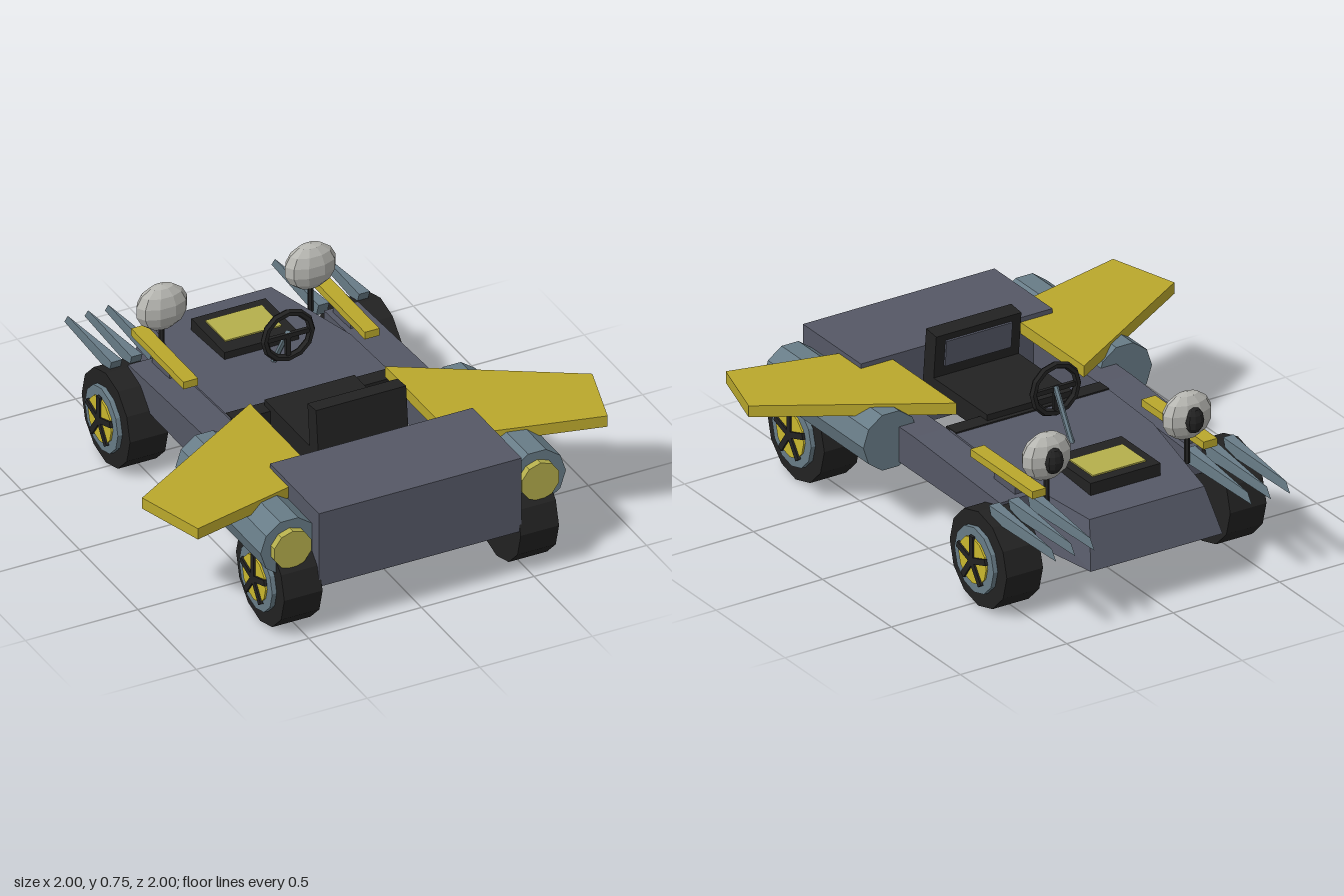
import * as THREE from 'three';
import { ConvexGeometry } from 'three/addons/geometries/ConvexGeometry.js';

const mat = (name, color) => {
  const m = new THREE.MeshStandardMaterial({ color, flatShading: true });
  m.name = name;
  return m;
};

export function createModel() {
  const slate = mat('slate', 0x555866);
  const steel = mat('steel blue', 0x687c87);
  const yellow = mat('yellow', 0xbaa82c);
  const pale = mat('pale yellow', 0xb5af4c);
  const hubYellow = mat('hub yellow', 0xcbb92e);
  const black = mat('black', 0x222222);
  const white = mat('lamp white', 0xb6b6b1);

  const root = new THREE.Group();
  const add = (name, geo, m, x = 0, y = 0, z = 0, parent = root) => {
    const mesh = new THREE.Mesh(geo, m);
    mesh.name = name;
    mesh.position.set(x, y, z);
    parent.add(mesh);
    return mesh;
  };
  // Box given by its ranges
  const box = (name, m, x0, x1, y0, y1, z0, z1, parent = root) =>
    add(name, new THREE.BoxGeometry(Math.abs(x1 - x0), y1 - y0, z1 - z0), m,
      (x0 + x1) / 2, (y0 + y1) / 2, (z0 + z1) / 2, parent);
  const hull = (name, m, pts) =>
    add(name, new ConvexGeometry(pts.map(p => new THREE.Vector3(...p))), m);
  // Horizontal plate from an outline in x and z
  const plate = (name, m, pts, y, h) => {
    const shape = new THREE.Shape(pts.map(([x, z]) => new THREE.Vector2(x, -z)));
    const geo = new THREE.ExtrudeGeometry(shape, { depth: h, bevelEnabled: false });
    return add(name, geo.rotateX(-Math.PI / 2), m, 0, y, 0);
  };

  // Tapered deck with sloping nose
  const half = [
    [0.31, 0.215, -0.88], [0.41, 0.215, -0.3], [0.41, 0.215, 0.1],
    [0.27, 0.405, -0.81], [0.36, 0.443, -0.3], [0.36, 0.46, 0.06],
  ];
  hull('deck', slate, half.concat(half.map(([x, y, z]) => [-x, y, z])));
  box('dashStrip', black, -0.36, 0.36, 0.4, 0.464, 0.02, 0.09);
  box('engineBox', slate, -0.45, 0.45, 0.22, 0.56, 0.57, 0.99);

  // Hood vent
  box('ventFrame', black, -0.165, 0.165, 0.4, 0.47, -0.655, -0.37);
  box('ventPanel', pale, -0.125, 0.125, 0.465, 0.476, -0.61, -0.44);

  // Seat
  box('seatCushion', black, -0.2, 0.2, 0.4, 0.49, 0.04, 0.48);
  const back = new THREE.Group();
  back.name = 'seatBack';
  back.position.set(0, 0.44, 0.47);
  back.rotation.x = -0.1;
  root.add(back);
  box('backrest', black, -0.2, 0.2, -0.03, 0.243, -0.037, 0.037, back);
  box('backPad', slate, -0.155, 0.155, 0.1, 0.215, -0.046, -0.037, back);

  // Steering wheel and column
  const steering = new THREE.Group();
  steering.name = 'steeringWheel';
  steering.position.set(0, 0.63, -0.145);
  root.add(steering);
  add('rim', new THREE.TorusGeometry(0.104, 0.016, 6, 12), black, 0, 0, 0, steering);
  box('crossSpoke', black, -0.1, 0.1, -0.01, 0.01, -0.008, 0.008, steering);
  box('lowerSpoke', black, -0.01, 0.01, -0.1, 0, -0.008, 0.008, steering);
  const column = add('steeringColumn', new THREE.CylinderGeometry(0.012, 0.012, 0.27, 6),
    steel, 0, 0.525, -0.215);
  column.rotation.x = 0.54;

  const addWheel = (s, z) => {
    const wheel = new THREE.Group();
    wheel.name = 'wheel';
    wheel.position.set(s * 0.525, 0.207, z);
    wheel.rotation.y = s > 0 ? 0 : Math.PI;
    root.add(wheel);
    const disc = (name, r, w, x, m, n) =>
      add(name, new THREE.CylinderGeometry(r, r, w, n).rotateZ(-Math.PI / 2), m, x, 0, 0, wheel);
    disc('tyre', 0.207, 0.17, 0, black, 12);
    disc('rim', 0.142, 0.025, 0.0925, steel, 12);
    disc('hub', 0.1, 0.014, 0.106, hubYellow, 12);
    for (let i = 0; i < 5; i++) {
      const a = i * Math.PI * 2 / 5;
      const spoke = add('spoke', new THREE.BoxGeometry(0.012, 0.108, 0.026), black,
        0.115, Math.cos(a) * 0.054, Math.sin(a) * 0.054, wheel);
      spoke.rotation.x = a;
    }
  };

  for (const s of [1, -1]) {
    // Side rail joining deck and engine box
    const rail = [];
    for (const x of [0.36, 0.51]) {
      rail.push([s * x, 0.3, -0.53], [s * x, 0.3, 0.58], [s * x, 0.425, -0.53],
        [s * x, 0.455, 0.09], [s * x, 0.455, 0.58]);
    }
    hull('sideRail', slate, rail);

    addWheel(s, 0.795);
    addWheel(s, -0.528);

    // Thruster pod with its cap
    const pod = new THREE.CylinderGeometry(0.128, 0.128, 0.73, 10)
      .rotateY(Math.PI / 2).rotateX(Math.PI / 2);
    add('pod', pod, steel, s * 0.55, 0.405, 0.565);
    const cap = new THREE.CylinderGeometry(0.086, 0.086, 0.03, 10).rotateX(Math.PI / 2);
    add('podCap', cap, pale, s * 0.55, 0.405, 0.945);

    plate('wing', yellow, [[s * 0.3, 0.11], [s, 0.535], [s * 0.91, 0.84],
      [s * 0.45, 0.73], [s * 0.3, 0.69]], 0.49, 0.05);
    box('yellowStrip', yellow, s * 0.37, s * 0.435, 0.472, 0.505, -0.65, -0.2);
    box('stripMount', slate, s * 0.385, s * 0.42, 0.41, 0.473, -0.5, -0.35);

    // Pointed exhaust blades
    for (const x of [0.37, 0.46, 0.55]) {
      const c = s * x;
      hull('blade', steel, [
        [c - 0.024, 0.385, -0.57], [c + 0.024, 0.385, -0.57], [c, 0.375, -1],
        [c - 0.024, 0.442, -0.55], [c + 0.024, 0.442, -0.55], [c, 0.418, -0.97],
      ]);
    }

    // Lamp with dark lens and short stalk
    add('lamp', new THREE.SphereGeometry(1, 10, 7).scale(0.115, 0.103, 0.062), white,
      s * 0.33, 0.612, -0.59);
    add('lens', new THREE.SphereGeometry(1, 10, 6).scale(0.043, 0.056, 0.035), black,
      s * 0.33, 0.61, -0.642);
    add('lampStalk', new THREE.CylinderGeometry(0.012, 0.012, 0.14, 6), black,
      s * 0.33, 0.47, -0.59);
  }
  return root;
}
